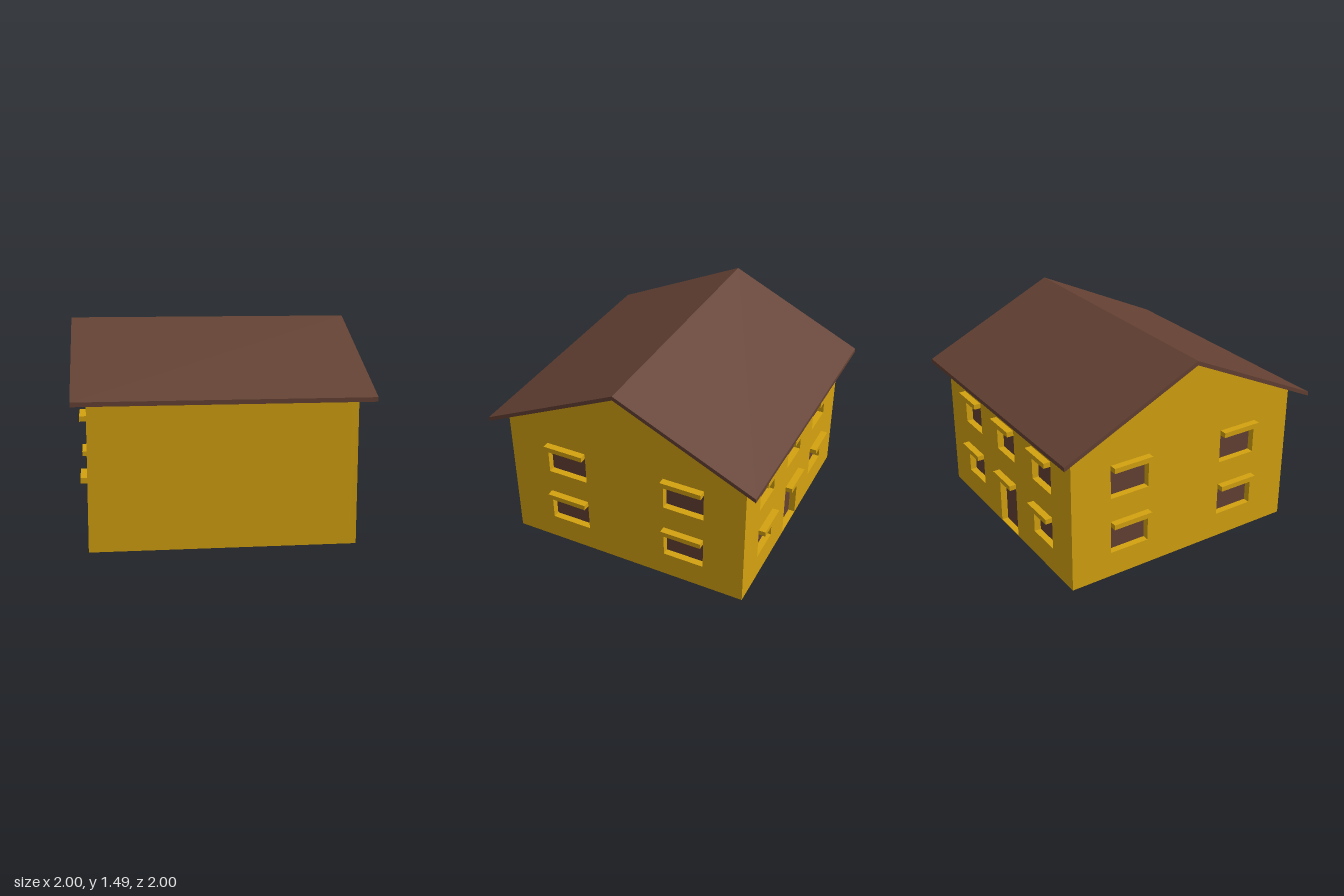
import * as THREE from 'three';

const HALF = 0.9, DEPTH = 0.05, EAVE = 1.033, RIDGE = 1.456, SLOPE = 0.47;
// Each storey: bottom and top of its openings; a lintel sits right above
const STOREYS = [[0.187, 0.396], [0.61, 0.823]];
const LINTEL_H = 0.037;

export function createModel() {
  const wallMat = new THREE.MeshStandardMaterial({ color: 0xd4a20f });
  wallMat.name = 'yellow plaster';
  const brownMat = new THREE.MeshStandardMaterial({ color: 0x644133 });
  brownMat.name = 'dark brown';

  const house = new THREE.Group();
  house.name = 'house';

  const shapeOf = (pts) => new THREE.Shape(pts.map(([x, y]) => new THREE.Vector2(x, y)));

  function add(parent, name, geometry, material, x = 0, y = 0, z = 0) {
    const mesh = new THREE.Mesh(geometry, material);
    mesh.name = name;
    mesh.position.set(x, y, z);
    parent.add(mesh);
    return mesh;
  }

  // A wall facing +z (inner face at z = 0) with recessed openings, then turned into place
  function addWall(name, outline, openings, angle) {
    const group = new THREE.Group();
    group.name = name;
    const shape = shapeOf(outline);
    for (const { kind, x, w, y0, y1 } of openings) {
      const l = x - w / 2, r = x + w / 2, h = y1 - y0;
      shape.holes.push(new THREE.Path([[l, y0], [l, y1], [r, y1], [r, y0]]
        .map(([px, py]) => new THREE.Vector2(px, py))));
      add(group, kind, new THREE.BoxGeometry(w, h, 0.006), brownMat, x, (y0 + y1) / 2, -0.002);
      add(group, 'lintel', new THREE.BoxGeometry(w, LINTEL_H, DEPTH), wallMat,
        x, y1 + LINTEL_H / 2, DEPTH * 1.5);
    }
    add(group, 'wallPanel',
      new THREE.ExtrudeGeometry(shape, { depth: DEPTH, bevelEnabled: false }), wallMat);
    const d = HALF - DEPTH;
    group.position.set(Math.sin(angle) * d, 0, Math.cos(angle) * d);
    group.rotation.y = angle;
    house.add(group);
  }

  // Openings of the gable ends: two per storey
  const gableOpenings = [];
  for (const [y0, y1] of STOREYS)
    for (const x of [-0.45, 0.45]) gableOpenings.push({ kind: 'window', x, w: 0.3, y0, y1 });

  // Openings of the entrance side: three per storey, the lower middle one is the door
  const entranceOpenings = [];
  const bay = 2 * HALF / 7;
  STOREYS.forEach(([y0, y1], storey) => {
    for (const i of [-1, 0, 1]) {
      const isDoor = storey === 0 && i === 0;
      entranceOpenings.push({
        kind: isDoor ? 'door' : 'window', x: i * 2 * bay, w: bay, y0: isDoor ? 0.004 : y0, y1,
      });
    }
  });

  const inner = HALF - DEPTH;
  const longSide = [[-inner, 0], [inner, 0], [inner, EAVE], [-inner, EAVE]];
  const gable = [[-HALF, 0], [HALF, 0], [HALF, EAVE], [0, RIDGE], [-HALF, EAVE]];
  addWall('frontWall', longSide, [], 0);
  addWall('backWall', longSide, entranceOpenings, Math.PI);
  addWall('leftWall', gable, gableOpenings, Math.PI / 2);
  addWall('rightWall', gable, gableOpenings, -Math.PI / 2);

  // Floor slab closing the underside
  add(house, 'floor', new THREE.BoxGeometry(2 * HALF, 0.004, 2 * HALF), wallMat, 0, 0.002, 0);

  // Gabled roof: chevron section run along x
  const low = RIDGE - SLOPE, t = 0.03;
  const section = shapeOf([[-1, low], [0, RIDGE], [1, low], [1, low + t], [0, RIDGE + t], [-1, low + t]]);
  const roofGeo = new THREE.ExtrudeGeometry(section, { depth: 2, bevelEnabled: false });
  roofGeo.translate(0, 0, -1);
  roofGeo.rotateY(Math.PI / 2);
  add(house, 'roof', roofGeo, brownMat);

  return house;
}
